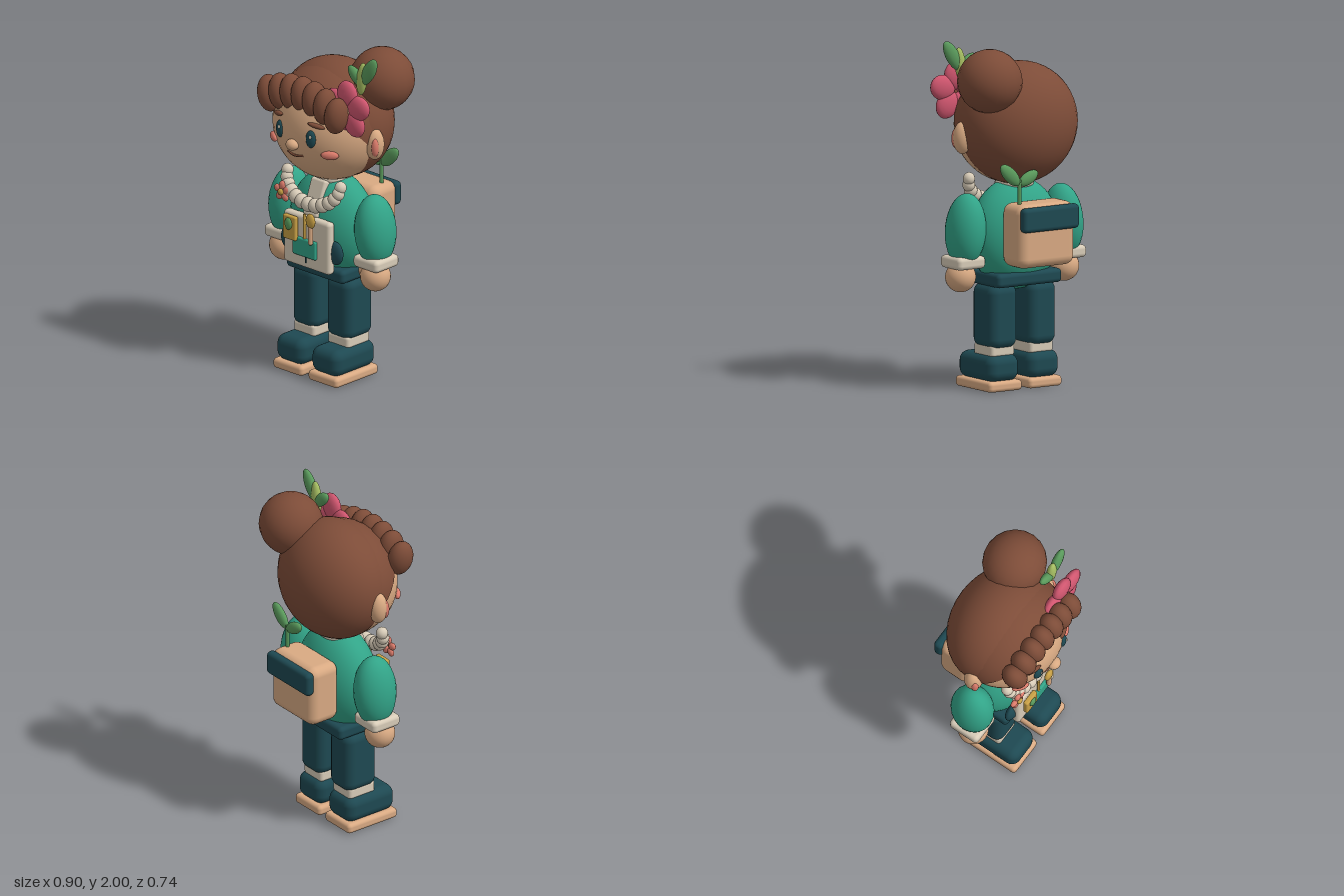
import * as THREE from 'three';
import { RoundedBoxGeometry } from 'three/addons/geometries/RoundedBoxGeometry.js';

const paint = (name, color) => {
  const m = new THREE.MeshStandardMaterial({ color });
  m.name = name;
  return m;
};

export function createModel() {
  const hair = paint('hairBrown', 0x7d4c38);
  const skin = paint('skin', 0xd9aa83);
  const green = paint('jacketGreen', 0x32a488);
  const teal = paint('darkTeal', 0x1e4952);
  const cream = paint('cream', 0xd8ccb8);
  const pink = paint('petalPink', 0xd0566f);
  const coral = paint('coral', 0xdb7b6b);
  const leaf = paint('leafGreen', 0x5a9a5c);
  const lime = paint('limeGreen', 0xa6be62);
  const gold = paint('gold', 0xc8a045);

  const model = new THREE.Group();
  model.name = 'figure';
  const add = (name, geo, mat, pos, rot = [0, 0, 0]) => {
    const m = new THREE.Mesh(geo, mat);
    m.name = name;
    m.position.set(...pos);
    m.rotation.set(...rot);
    model.add(m);
    return m;
  };
  // ellipsoid with three radii
  const ball = (name, mat, pos, r, rot, seg = 24) => {
    const g = new THREE.SphereGeometry(1, seg, Math.ceil(seg * 0.7));
    return add(name, g.scale(...r), mat, pos, rot);
  };
  const box = (name, mat, pos, size, radius, rot) =>
    add(name, new RoundedBoxGeometry(...size, 3, radius), mat, pos, rot);
  const rod = (name, mat, pos, r, h, rot) =>
    add(name, new THREE.CylinderGeometry(r, r, h, 12), mat, pos, rot);
  // ring of flat petals facing +z
  const flower = (name, mat, [x, y, z], n, dist, r, start) => {
    for (let i = 0; i < n; i++) {
      const a = start + (i / n) * Math.PI * 2;
      ball(name + 'Petal', mat, [x + dist * Math.cos(a), y + dist * Math.sin(a), z], r, [0, 0, a], 16);
    }
  };

  // Head and hair
  ball('face', skin, [0, 1.505, 0.02], [0.345, 0.335, 0.31], undefined, 40);
  ball('hairBack', hair, [0, 1.52, -0.03], [0.362, 0.35, 0.288], undefined, 36);
  const cap = new THREE.SphereGeometry(1, 40, 20, 0, Math.PI * 2, 0, 1.79);
  cap.rotateX(-0.76).scale(0.352, 0.345, 0.312);
  add('hairCap', cap, hair, [0, 1.505, 0.015]);
  ball('hairBun', hair, [0.262, 1.79, -0.13], [0.187, 0.182, 0.182], undefined, 20);
  for (let i = -3; i <= 3; i++) {
    ball('fringeLock', hair, [i * 0.087, 1.725 - 0.0065 * i * i, 0.245],
      [0.065, 0.108, 0.077], [0, 0, -i * 0.05 + 0.06], 18);
  }

  // Face details
  for (const s of [-1, 1]) {
    ball('ear', skin, [s * 0.345, 1.455, 0.02], [0.055, 0.093, 0.054]);
    ball('innerEar', coral, [s * 0.375, 1.45, 0.048], [0.022, 0.055, 0.024], undefined, 14);
    ball('eye', teal, [s * 0.121, 1.505, 0.308], [0.031, 0.052, 0.018], [0, s * 0.3, 0]);
    ball('eyeHighlight', cream, [s * 0.121 + 0.01, 1.523, 0.325], [0.008, 0.011, 0.006], undefined, 10);
    ball('eyebrow', hair, [s * 0.147, 1.588, 0.292], [0.053, 0.014, 0.016], [0, s * 0.4, -s * 0.18], 14);
    ball('cheek', coral, [s * 0.218, 1.417, 0.255], [0.052, 0.026, 0.02], [0, s * 0.6, 0], 18);
  }
  ball('nose', skin, [0, 1.447, 0.333], [0.04, 0.033, 0.036]);
  const smile = new THREE.QuadraticBezierCurve3(
    new THREE.Vector3(-0.06, 1.388, 0.302), new THREE.Vector3(0, 1.366, 0.322), new THREE.Vector3(0.06, 1.388, 0.302));
  add('mouth', new THREE.TubeGeometry(smile, 14, 0.007, 6), hair, [0, 0, 0]);

  // Hair flower and leaves
  flower('hairFlower', pink, [0.285, 1.695, 0.18], 5, 0.09, [0.083, 0.072, 0.037], Math.PI / 2);
  ball('hairFlowerCentre', skin, [0.29, 1.695, 0.205], [0.03, 0.03, 0.025], undefined, 14);
  ball('hairLeaf', leaf, [0.365, 1.915, 0.09], [0.042, 0.1, 0.027], [0, 0, -0.55], 18);
  ball('hairLeaf', lime, [0.312, 1.86, 0.09], [0.034, 0.1, 0.027], [0, 0, -0.12], 18);
  ball('hairLeaf', leaf, [0.268, 1.865, 0.09], [0.036, 0.075, 0.027], [0, 0, 0.85], 18);

  // Torso, neck and shirt front
  ball('torso', green, [0, 0.883, 0], [0.285, 0.32, 0.19], undefined, 36);
  rod('neck', skin, [0, 1.18, -0.01], 0.085, 0.14);
  add('collar', new THREE.TorusGeometry(0.085, 0.025, 10, 24), cream, [0, 1.175, 0], [Math.PI / 2, 0, 0]);
  box('shirtFront', cream, [0, 1.07, 0.135], [0.115, 0.22, 0.05], 0.015, [-0.35, 0, 0]);

  // Arms, legs and shoes
  for (const s of [-1, 1]) {
    ball('sleeve', green, [s * 0.335, 0.925, 0.005], [0.11, 0.212, 0.13], [0, 0, s * 0.08]);
    box('cuff', cream, [s * 0.347, 0.748, 0.012], [0.19, 0.072, 0.195], 0.025);
    ball('hand', skin, [s * 0.355, 0.66, 0.025], [0.088, 0.088, 0.087]);
    ball('thumb', skin, [s * 0.298, 0.68, 0.045], [0.038, 0.052, 0.042], [0, 0, s * 0.3], 16);
    box('leg', teal, [s * 0.133, 0.425, 0.005], [0.19, 0.37, 0.22], 0.055);
    box('sock', cream, [s * 0.133, 0.23, 0.012], [0.162, 0.075, 0.185], 0.02);
    box('shoe', teal, [s * 0.137, 0.13, 0.06], [0.215, 0.155, 0.34], 0.055);
    box('sole', skin, [s * 0.137, 0.03, 0.06], [0.228, 0.06, 0.352], 0.022);
  }
  box('belt', teal, [0, 0.64, 0], [0.445, 0.08, 0.315], 0.025);

  // Bead necklace with a small flower
  for (let i = 0; i <= 12; i++) {
    const a = Math.PI * (i / 12);
    const r = 0.035 + 0.008 * Math.sin(a);
    ball('bead', cream, [0.207 * Math.cos(a), 1.19 - 0.142 * Math.sin(a), 0.155 + 0.045 * Math.sin(a)],
      [r, r * 1.05, r], undefined, 14);
  }
  flower('necklaceFlower', coral, [-0.19, 1.08, 0.215], 5, 0.036, [0.027, 0.022, 0.016], Math.PI / 2);
  ball('necklaceFlowerCentre', gold, [-0.19, 1.08, 0.23], [0.02, 0.02, 0.014], undefined, 12);

  // Chest pouch and its charms
  box('chestPouch', cream, [-0.005, 0.818, 0.19], [0.36, 0.315, 0.055], 0.022);
  for (const s of [-1, 1]) ball('sidePocket', teal, [s * 0.18, 0.79, 0.17], [0.058, 0.07, 0.028]);
  rod('pouchCord', gold, [-0.005, 0.92, 0.228], 0.008, 0.15);
  box('goldTag', gold, [-0.103, 0.893, 0.24], [0.1, 0.145, 0.03], 0.01);
  ball('tagLeaf', leaf, [-0.103, 0.918, 0.258], [0.027, 0.036, 0.014], undefined, 16);
  box('pouchLabel', green, [-0.005, 0.79, 0.225], [0.18, 0.11, 0.024], 0.01);
  rod('pouchStitch', teal, [-0.005, 0.716, 0.218], 0.005, 0.04);
  ball('charmTop', gold, [0.063, 0.975, 0.25], [0.034, 0.045, 0.018], undefined, 16);
  add('charmDrop', new THREE.CapsuleGeometry(0.015, 0.09, 4, 12), skin, [0.063, 0.89, 0.25]);

  // Backpack with a sprout
  box('backpack', skin, [0, 0.91, -0.235], [0.385, 0.365, 0.21], 0.055);
  box('backpackFlap', teal, [-0.003, 1.01, -0.342], [0.385, 0.14, 0.058], 0.025);
  rod('sproutStem', leaf, [0.14, 1.14, -0.25], 0.012, 0.18);
  ball('sproutLeaf', leaf, [0.205, 1.262, -0.25], [0.04, 0.085, 0.025], [0, 0, -0.8], 18);
  ball('sproutLeaf', leaf, [0.08, 1.235, -0.25], [0.036, 0.07, 0.025], [0, 0, 1.1], 18);

  return model;
}
